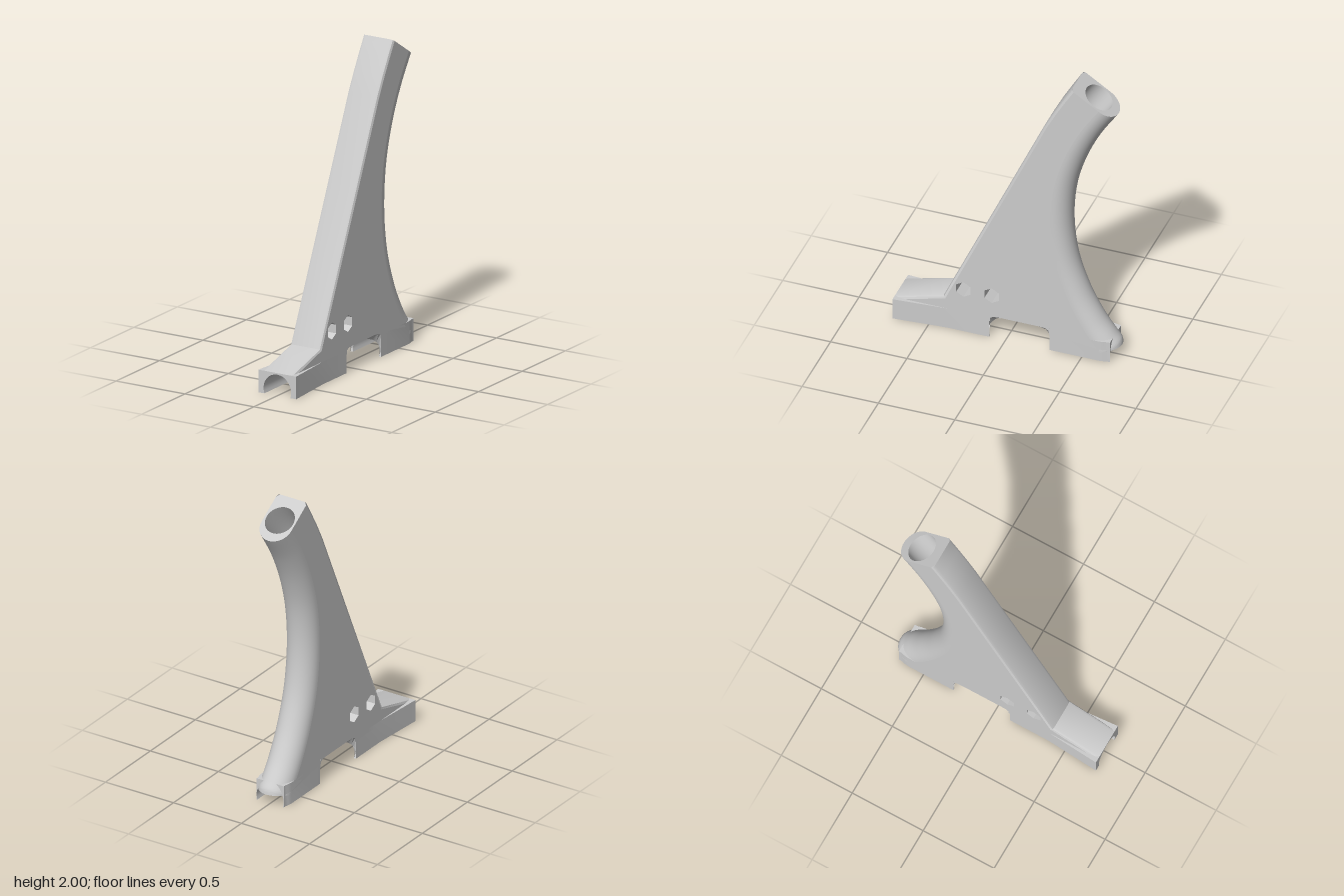
import * as THREE from 'three';
import { toCreasedNormals } from 'three/addons/utils/BufferGeometryUtils.js';

const V2 = (a, b) => new THREE.Vector2(a, b);
const material = new THREE.MeshStandardMaterial({ color: 0xcccccc, side: THREE.DoubleSide });
const HALF = 0.11;                       // half width of the column
const BORE = { r: 0.097, inset: 0.155 }; // tube bore behind the rear edge
const CH = { r: 0.1, y: 0.035 };         // clip channel under the base
const CUT = V2(0.272, 0.177).normalize(); // direction of the slanted top end

// Skin a list of equally long cross-sections (arrays of Vector3)
function skin(rings, closed, crease = 0.6) {
  const n = rings[0].length, pos = [], idx = [];
  rings.forEach(r => r.forEach(p => pos.push(p.x, p.y, p.z)));
  for (let i = 0; i < rings.length - 1; i++) {
    for (let j = 0; j < (closed ? n : n - 1); j++) {
      const a = i * n + j, b = i * n + (j + 1) % n;
      idx.push(a, a + n, b, b, a + n, b + n);
    }
  }
  const g = new THREE.BufferGeometry();
  g.setAttribute('position', new THREE.Float32BufferAttribute(pos, 3));
  g.setIndex(idx);
  return toCreasedNormals(g, crease);
}

// Place an (x, inset) section point on a side-view station {p, n}, both (z, y)
const place = (s, x, inset) =>
  new THREE.Vector3(x, s.p.y + s.n.y * inset, s.p.x + s.n.x * inset);
const sweep = (stations, section, closed) =>
  skin(stations.map(s => section.map(q => place(s, q.x, q.y))), closed);

// Stations along a side-view path; inward normal lies on the given side
function stationsOf(points, side) {
  return points.map((p, i) => {
    const a = points[Math.max(i - 1, 0)], b = points[Math.min(i + 1, points.length - 1)];
    const t = b.clone().sub(a).normalize();
    return { p, n: V2(t.y, -t.x).multiplyScalar(side) };
  });
}

export function createModel() {
  const group = new THREE.Group();
  const add = (name, geometry) => {
    const mesh = new THREE.Mesh(geometry, material);
    mesh.name = name;
    group.add(mesh);
    return mesh;
  };

  // Curved rear edge, bottom to top, and front edge, bottom to top
  const rearCurve = new THREE.SplineCurve([
    V2(-0.725, 0.08), V2(-0.715, 0.115), V2(-0.677, 0.165), V2(-0.6, 0.275), V2(-0.51, 0.45),
    V2(-0.435, 0.68), V2(-0.405, 0.94), V2(-0.424, 1.2), V2(-0.488, 1.43),
    V2(-0.585, 1.64), V2(-0.702, 1.823)]);
  const rear = stationsOf(rearCurve.getPoints(60), 1);
  rear[0].n = V2(1, 0);
  rear[rear.length - 1].n = CUT.clone();
  const front = stationsOf([V2(0.73, 0.145), V2(0.41, 0.23), V2(0, 1.13), V2(-0.25, 1.68),
    V2(-0.31, 1.795), V2(-0.37, 1.9), V2(-0.43, 2)], -1);
  front[front.length - 1].n = CUT.clone().negate();

  // Rounded back of the column
  const halfRound = Array.from({ length: 25 }, (_, i) => {
    const a = -Math.PI / 2 + Math.PI * i / 24;
    return V2(HALF * Math.sin(a), HALF * (1 - Math.cos(a)));
  });
  add('roundedBack', sweep(rear, halfRound, false));

  // Front face with softened edges
  const e = 0.02;
  const frontSection = [V2(-HALF, e), V2(-HALF + 0.006, 0.006), V2(-HALF + e, 0),
    V2(HALF - e, 0), V2(HALF - 0.006, 0.006), V2(HALF, e)];
  add('frontFace', sweep(front, frontSection, false));

  // Curved bore for the tube
  const circle = Array.from({ length: 40 }, (_, i) => {
    const a = 2 * Math.PI * i / 40;
    return V2(BORE.r * Math.cos(a), BORE.inset + BORE.r * Math.sin(a));
  });
  add('tubeBore', sweep(rear.filter(s => s.p.y > 0.17), circle, true));

  // Slanted top end with the bore opening
  const top = rear[rear.length - 1];
  const depth = V2(-0.43, 2).distanceTo(top.p);
  const endShape = new THREE.Shape([...halfRound, V2(HALF, depth - e), V2(HALF - e, depth),
    V2(-HALF + e, depth), V2(-HALF, depth - e)]);
  endShape.holes.push(new THREE.Path(circle));
  const end = new THREE.ShapeGeometry(endShape);
  const ep = end.attributes.position;
  for (let i = 0; i < ep.count; i++) {
    const p = place(top, ep.getX(i), ep.getY(i));
    ep.setXYZ(i, p.x, p.y, p.z);
  }
  end.computeVertexNormals();
  add('topEnd', end);

  // Flat side walls with two hexagonal bolt holes
  const inset = (s, d) => s.p.clone().addScaledVector(s.n, d);
  const wall = new THREE.Shape([
    ...front.map(s => inset(s, e)),
    ...rear.map(s => inset(s, HALF)).reverse(),
    V2(-0.29, 0.13), V2(-0.29, 0.165), V2(0.1, 0.165), V2(0.1, 0.12)]);
  const bolts = [V2(0.275, 0.315), V2(0.09, 0.315)];
  const boltR = 0.055;
  for (const c of bolts) {
    wall.holes.push(new THREE.Path(Array.from({ length: 6 }, (_, i) => {
      const a = Math.PI / 2 + i * Math.PI / 3;
      return V2(c.x + boltR * Math.cos(a), c.y + boltR * Math.sin(a));
    })));
    const hex = new THREE.CylinderGeometry(boltR, boltR, 2 * HALF, 6, 1, true, Math.PI / 2);
    hex.rotateZ(Math.PI / 2).translate(0, c.y, c.x);
    add('boltHole', toCreasedNormals(hex, 0.3));
  }
  for (const [name, x] of [['leftWall', HALF], ['rightWall', -HALF]]) {
    add(name, new THREE.ShapeGeometry(wall).rotateY(-Math.PI / 2).translate(x, 0, 0));
  }

  // Base: clip channel section, [z, outer bottom, inner bottom, top]
  const baseStations = [
    [0.73, 0, 0, 0.145], [0.38, 0, 0, 0.145], [0.108, 0, 0, 0.145],
    [0.122, 0.04, 0.04, 0.145], [0.118, 0.07, 0.07, 0.145], [0.1, 0.145, 0.095, 0.175],
    [0.08, 0.157, 0.112, 0.18], [0.04, 0.16, 0.124, 0.18], [-0.22, 0.16, 0.124, 0.18],
    [-0.26, 0.157, 0.112, 0.18], [-0.28, 0.145, 0.095, 0.175], [-0.298, 0.07, 0.07, 0.145],
    [-0.302, 0.04, 0.04, 0.145], [-0.29, 0, 0, 0.145], [-0.61, 0, 0, 0.145],
    [-0.64, 0, 0, 0.145], [-0.66, 0, 0, 0.145], [-0.68, 0, 0, 0.145]];
  const halfWidth = z => z > 0.38 ? HALF + 0.027 * (z - 0.38) / 0.35
    : z > -0.61 ? HALF : Math.max(0.1, HALF * Math.sqrt(1 - ((z + 0.61) / 0.115) ** 2));
  const baseRings = baseStations.map(([z, outer, inner, roof]) => {
    const w = halfWidth(z), a0 = Math.asin((inner - CH.y) / CH.r);
    const ring = [[w, outer], [w, roof], [-w, roof], [-w, outer]];
    for (let i = 0; i <= 24; i++) {
      const a = Math.PI - a0 - (Math.PI - 2 * a0) * i / 24;
      ring.push([CH.r * Math.cos(a), CH.y + CH.r * Math.sin(a)]);
    }
    return ring.map(([x, y]) => new THREE.Vector3(x, y, z));
  });
  add('baseChannel', skin(baseRings, true, 0.5));
  for (const ring of [baseRings[0], baseRings[baseRings.length - 1]]) {
    const cap = new THREE.ShapeGeometry(new THREE.Shape(ring.map(p => V2(p.x, p.y))));
    add('baseEnd', cap.translate(0, 0, ring[0].z));
  }
  return group;
}
